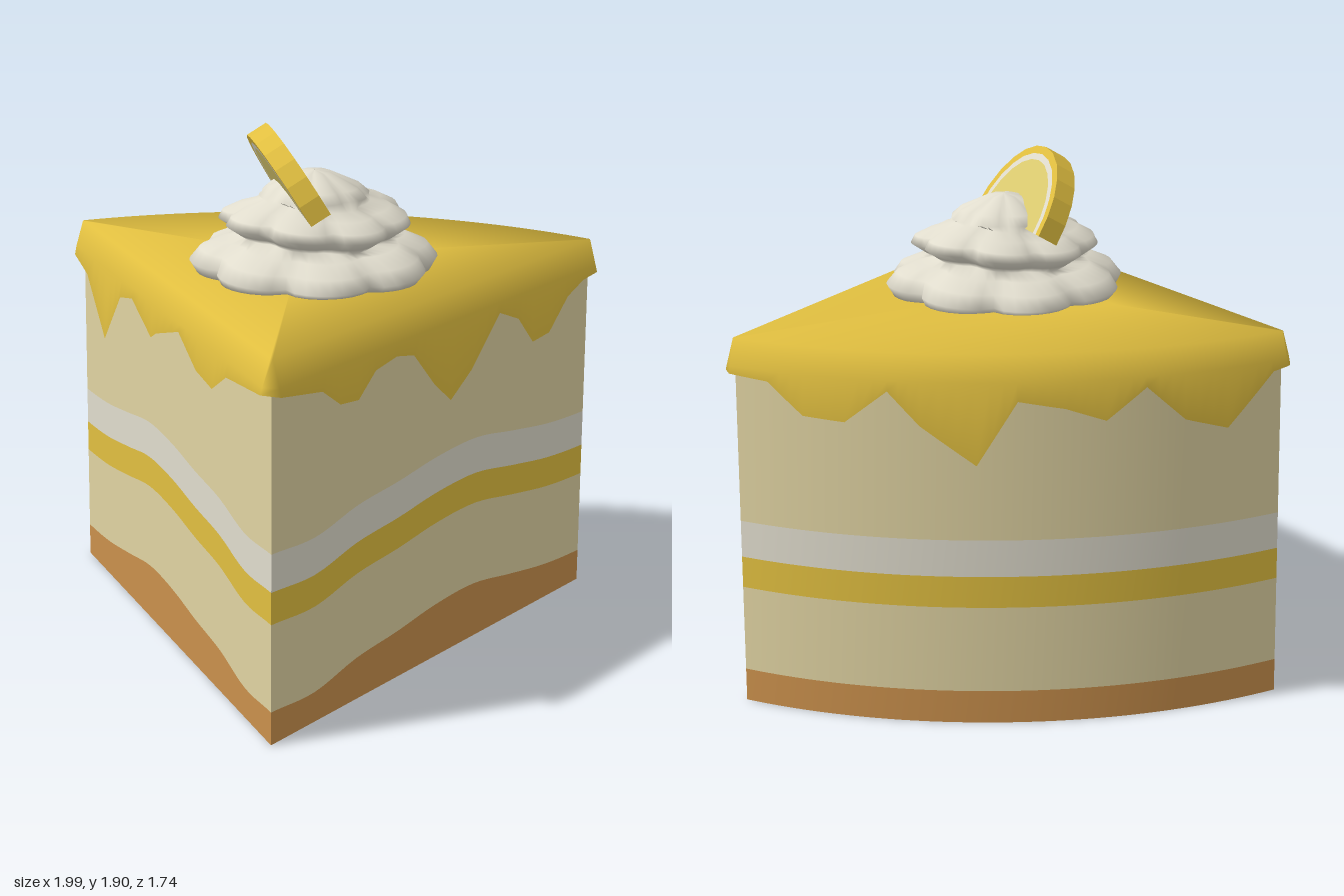
import * as THREE from 'three';
import { mergeGeometries, mergeVertices } from 'three/addons/utils/BufferGeometryUtils.js';

const material = (name, color, side = THREE.FrontSide) => {
  const m = new THREE.MeshStandardMaterial({ color, side });
  m.name = name;
  return m;
};

// Wedge footprint: apex at front left, 60 degree arc centred on it
const AX = -0.97, AZ = 0.83, R = 1.92, ARC = Math.PI / 3;
const S = Math.sin(ARC), C = Math.cos(ARC);
const edges = [
  { // front cut
    at: t => ({ x: AX + R * t, z: AZ, nx: 0, nz: 1, r: t }),
    drips: [[0, 1.235], [.115, 1.2], [.167, 1.13], [.22, 1.12], [.27, 1.2], [.333, 1.22], [.385, 1.2], [.453, 1.06],
      [.505, .98], [.57, 1.06], [.66, 1.23], [.724, 1.18], [.776, 1.07], [.833, 1.08], [.896, 1.19], [.95, 1.23], [1, 1.24]],
  },
  { // curved outside
    at: t => {
      const c = Math.cos(t * ARC), s = Math.sin(t * ARC);
      return { x: AX + R * c, z: AZ - R * s, nx: c, nz: -s, r: 1 };
    },
    drips: [[0, 1.24], [.075, 1.23], [.14, 1.12], [.215, 1.11], [.29, 1.23], [.345, 1.11], [.44, .97], [.51, 1.2],
      [.59, 1.17], [.66, 1.12], [.73, 1.23], [.8, 1.1], [.88, 1.05], [.97, 1.23], [1, 1.24]],
  },
  { // back left cut
    at: t => ({ x: AX + R * C * (1 - t), z: AZ - R * S * (1 - t), nx: -S, nz: -C, r: 1 - t }),
    drips: [[0, 1.23], [.077, 1.19], [.18, .99], [.277, 1.2], [.345, 1.23], [.45, 1.14], [.48, 1.17], [.6, 1.24],
      [.69, 1.15], [.77, 1.13], [.84, 1.21], [1, 1.24]],
  },
];

// Surface through rows of [x, y, z] points; optional matching rows of normals
function grid(rows, normals) {
  const n = rows[0].length, index = [];
  for (let j = 0; j < rows.length - 1; j++) {
    for (let i = 0; i < n - 1; i++) {
      const a = j * n + i, b = a + 1, c = b + n, d = a + n;
      index.push(a, b, c, a, c, d);
    }
  }
  const g = new THREE.BufferGeometry();
  g.setAttribute('position', new THREE.Float32BufferAttribute(rows.flat(2), 3));
  g.setIndex(index);
  if (normals) g.setAttribute('normal', new THREE.Float32BufferAttribute(normals.flat(2), 3));
  else g.computeVertexNormals();
  return g;
}

// Wavy rise of the layers, by distance from the apex
const waveCurve = new THREE.SplineCurve(
  [0, -.01, .035, .055, .082, .087, .05, .015, 0].map((y, i) => new THREE.Vector2(i / 8, y)));
const wave = r => waveCurve.getPoint(r).y;

const STEPS = 40;
const samples = e => Array.from({ length: STEPS + 1 }, (_, i) => e.at(i / STEPS));

function layer(lo, hi) {
  return mergeGeometries(edges.map(e => {
    const pts = samples(e);
    return grid([lo, hi].map(f => pts.map(p => [p.x, f(p.r), p.z])));
  }));
}

function frosting() {
  // Sample each edge on its drip points, with two steps between
  const pts = [];
  for (const e of edges) {
    e.drips.forEach(([t, y], i) => {
      const next = e.drips[i + 1];
      for (let k = 0; k < (next ? 3 : 1); k++) {
        const f = k / 3;
        pts.push({
          ...e.at(next ? t + (next[0] - t) * f : t),
          low: next ? y + (next[1] - y) * f : y,
        });
      }
    });
  }
  pts.push(pts[0]);
  const offset = (d, y) => pts.map(p => [p.x + p.nx * d, y ?? p.low, p.z + p.nz * d]);
  const inset = (s, y) => pts.map(p => [p.x * s, y, 0.2 + (p.z - 0.2) * s]);
  const tilt = (out, up) => pts.map(p => {
    const l = Math.hypot(out, up);
    return [p.nx * out / l, up / l, p.nz * out / l];
  });
  return grid(
    [offset(0.04), offset(0.033, 1.265), offset(0.005, 1.36), inset(0.36, 1.38), inset(0, 1.382)],
    [tilt(1, 0), tilt(1, 0.25), tilt(1, 0.9), tilt(0, 1), tilt(0, 1)]);
}

// Piped cream: stacked bulges pushed into eight twisted lobes
function cream() {
  const profile = [[.001, 1.365], [.3, 1.365], [.42, 1.375], [.445, 1.405], [.41, 1.45], [.33, 1.485], [.27, 1.5],
    [.3, 1.52], [.345, 1.55], [.33, 1.58], [.27, 1.61], [.2, 1.63], [.2, 1.65], [.165, 1.68], [.11, 1.705],
    [.06, 1.728], [.001, 1.735]];
  let g = new THREE.LatheGeometry(profile.map(p => new THREE.Vector2(...p)), 64);
  const pos = g.attributes.position;
  for (let i = 0; i < pos.count; i++) {
    const x = pos.getX(i), y = pos.getY(i), z = pos.getZ(i);
    const a = Math.atan2(z, x), tier = y < 1.5 ? 0 : y < 1.63 ? 1 : 2;
    const lobe = Math.abs(Math.cos(4 * (a + tier * 0.35 + (y - 1.4) * 0.8)));
    const k = 0.84 + 0.16 * Math.sqrt(lobe);
    const lift = tier < 2 && y > 1.38 ? 0.012 * Math.sin(2 * a + tier) : 0;
    pos.setXYZ(i, x * k, y + lift, z * k);
  }
  g.deleteAttribute('uv');
  g.deleteAttribute('normal');
  g = mergeVertices(g, 1e-4);
  g.computeVertexNormals();
  return g;
}

// Half ring (or half disc) of the citrus slice
function halfRing(outer, inner) {
  const s = new THREE.Shape();
  s.absarc(0, 0, outer, 0, Math.PI, false);
  if (inner) s.absarc(0, 0, inner, Math.PI, 0, true);
  s.closePath();
  const g = new THREE.ExtrudeGeometry(s, { depth: 0.08, bevelEnabled: false, curveSegments: 6 });
  g.translate(0, 0, -0.08);
  return g;
}

export function createModel() {
  const model = new THREE.Group();
  model.name = 'cakeSlice';
  const both = THREE.DoubleSide;
  const sponge = material('sponge', 0xe0d3a2, both);
  const crust = material('crust', 0xca904c, both);
  const whiteCream = material('whiteCream', 0xe0dccd, both);
  const yellow = material('lemonYellow', 0xe1bf40, both);
  const flesh = material('lemonFlesh', 0xdccb70);
  const add = (name, geometry, mat, parent = model) => {
    const mesh = new THREE.Mesh(geometry, mat);
    mesh.name = name;
    parent.add(mesh);
    return mesh;
  };

  // Stacked layers of the slice
  const at = y => r => y + wave(r);
  add('crustLayer', layer(() => 0, at(0.12)), crust);
  add('lowerSponge', layer(at(0.12), at(0.435)), sponge);
  add('lemonFilling', layer(at(0.435), at(0.55)), yellow);
  add('creamFilling', layer(at(0.55), at(0.685)), whiteCream);
  add('upperSponge', layer(at(0.685), () => 1.34), sponge);
  const outline = edges.flatMap(samples);
  add('underside', grid([outline.map(() => [0, 0, 0.2]), outline.map(p => [p.x, 0, p.z])]), crust);

  // Dripping frosting and piped cream
  add('frosting', frosting(), yellow);
  add('whippedCream', cream(), whiteCream).position.set(-0.05, 0, 0.3);

  // Half lemon slice leaning back in the cream
  const lemon = new THREE.Group();
  lemon.name = 'lemonSlice';
  add('rind', halfRing(0.3, 0.27), yellow, lemon);
  add('pith', halfRing(0.27, 0.245), whiteCream, lemon);
  add('flesh', halfRing(0.245, 0), flesh, lemon);
  lemon.rotation.set(-0.54, 0.877, 0, 'YXZ');
  lemon.position.set(-0.04, 1.64, 0.28);
  model.add(lemon);
  return model;
}
